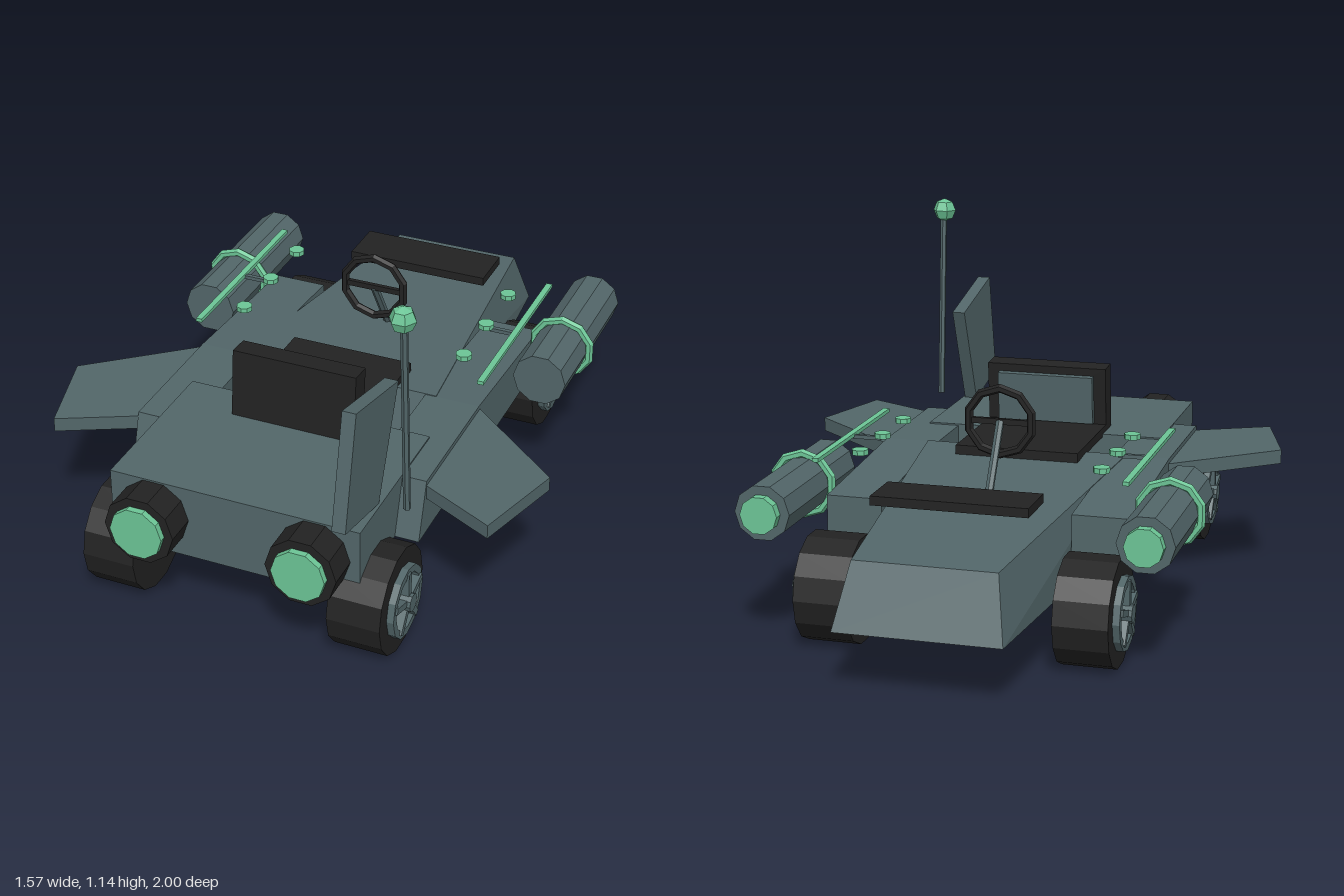
import * as THREE from 'three';
import { ConvexGeometry } from 'three/addons/geometries/ConvexGeometry.js';

const material = (name, color) => {
  const m = new THREE.MeshStandardMaterial({ color });
  m.name = name;
  return m;
};

export function createModel() {
  const slate = material('slate', 0x526669);
  const black = material('black', 0x222222);
  const green = material('mint green', 0x6cc596);
  const model = new THREE.Group();

  // Adds a faceted mesh
  function add(name, geometry, mat, x = 0, y = 0, z = 0, parent = model) {
    const g = geometry.index ? geometry.toNonIndexed() : geometry;
    g.computeVertexNormals();
    const mesh = new THREE.Mesh(g, mat);
    mesh.name = name;
    mesh.position.set(x, y, z);
    parent.add(mesh);
    return mesh;
  }
  const box = (w, h, d) => new THREE.BoxGeometry(w, h, d);
  const shapeOf = pts => new THREE.Shape(pts.map(p => new THREE.Vector2(...p)));
  const extrude = (shape, depth) =>
    new THREE.ExtrudeGeometry(shape, { depth, bevelEnabled: false, curveSegments: 6 });
  // Cylinder along z, flat facet on top
  const drum = (r, length, sides = 10) =>
    new THREE.CylinderGeometry(r, r, length, sides).rotateY(Math.PI / sides).rotateX(Math.PI / 2);
  // Profile of (z, y) points extruded between two x values
  const sideProfile = (pts, x0, x1) =>
    extrude(shapeOf(pts), x1 - x0).rotateY(-Math.PI / 2).translate(x1, 0, 0);
  // Rod between two points
  function rod(name, a, b, r, mat, sides = 6) {
    const from = new THREE.Vector3(...a), to = new THREE.Vector3(...b);
    const dir = to.clone().sub(from);
    const mesh = add(name, new THREE.CylinderGeometry(r, r, dir.length(), sides), mat);
    mesh.position.copy(from).add(to).multiplyScalar(0.5);
    mesh.quaternion.setFromUnitVectors(new THREE.Vector3(0, 1, 0), dir.normalize());
  }

  // Tapered long hull
  const hull = [];
  for (const s of [-1, 1]) {
    hull.push([0.25 * s, 0.19, -1], [0.215 * s, 0.38, -0.92], [0.345 * s, 0.19, 0.21], [0.33 * s, 0.452, 0.13]);
  }
  add('hull', new ConvexGeometry(hull.map(p => new THREE.Vector3(...p))), slate);

  // Lamp-end body with a narrower underside
  add('frontBody', box(0.79, 0.185, 0.53), slate, 0, 0.3625, 0.615);
  add('frontUnderside', box(0.62, 0.055, 0.53), slate, 0, 0.245, 0.615);

  for (const s of [-1, 1]) {
    // Side rail
    const rail = [[0.62, 0.27], [0.565, 0.45], [0.13, 0.45], [-0.43, 0.412], [-0.43, 0.27]];
    add('sideRail', sideProfile(rail, s > 0 ? 0.295 : -0.47, s > 0 ? 0.47 : -0.295), slate);

    // Swept wing
    const wing = [[0.4, 0.12], [0.47, 0.12], [0.785, 0.385], [0.7, 0.68], [0.46, 0.56], [0.4, 0.56]];
    add('wing', extrude(shapeOf(wing.map(([x, z]) => [x * s, z])), 0.045).rotateX(Math.PI / 2),
      slate, 0, 0.435, 0);

    // Round lamp
    add('lampHousing', drum(0.11, 0.1), black, 0.255 * s, 0.345, 0.93);
    add('lampLens', drum(0.083, 0.03), green, 0.255 * s, 0.345, 0.985);

    // Booster pod
    add('boosterPod', drum(0.086, 0.56), slate, 0.575 * s, 0.42, -0.41);
    add('boosterNozzle', drum(0.058, 0.04), green, 0.575 * s, 0.42, -0.7);
    add('boosterRing', new THREE.TorusGeometry(0.096, 0.014, 6, 10).rotateZ(Math.PI / 10),
      green, 0.575 * s, 0.42, -0.355);

    // Handrail with its knobs
    add('handrail', box(0.02, 0.012, 0.65), green, 0.475 * s, 0.541, -0.185);
    add('handrailBar', box(0.09, 0.012, 0.014), slate, 0.425 * s, 0.535, -0.185);
    for (const z of [-0.39, -0.185, 0.015]) {
      add('knob', new THREE.CylinderGeometry(0.026, 0.026, 0.016, 8), green, 0.375 * s, 0.545, z);
    }

    for (const z of [0.765, -0.55]) addWheel(s, z);
  }

  // Wheel with a five-spoke rim on its outer face
  function addWheel(side, z) {
    const wheel = new THREE.Group();
    wheel.name = 'wheel';
    wheel.position.set(0.393 * side, 0.166, z);
    wheel.rotation.y = side * Math.PI / 2;
    model.add(wheel);
    add('tyre', drum(0.166, 0.165, 14), black, 0, 0, 0, wheel);
    const ring = new THREE.Shape().absarc(0, 0, 0.113, 0, Math.PI * 2);
    ring.holes.push(new THREE.Path().absarc(0, 0, 0.09, 0, Math.PI * 2, true));
    add('rim', extrude(ring, 0.022), slate, 0, 0, 0.082, wheel);
    add('hub', drum(0.028, 0.04, 10), slate, 0, 0, 0.1, wheel);
    for (let i = 0; i < 5; i++) {
      const spoke = box(0.02, 0.09, 0.028).translate(0, 0.055, 0).rotateZ(i * Math.PI * 0.4);
      add('spoke', spoke, slate, 0, 0, 0.096, wheel);
    }
  }

  // Seat
  add('seatBase', box(0.4, 0.03, 0.4), black, 0, 0.46, 0.215);
  add('seatBack', sideProfile([[0.472, 0.45], [0.452, 0.67], [0.38, 0.665], [0.4, 0.45]], -0.2, 0.2), black);
  add('seatCushion', sideProfile([[0.395, 0.48], [0.38, 0.64], [0.358, 0.638], [0.373, 0.48]], -0.16, 0.16), slate);

  // Rear panel
  add('rearPanel', box(0.475, 0.028, 0.16), black, 0, 0.487, -0.615);

  // Steering
  add('steeringWheel', new THREE.TorusGeometry(0.104, 0.014, 6, 10).rotateZ(Math.PI / 10), black, 0, 0.61, -0.165);
  add('steeringBar', box(0.2, 0.018, 0.014), black, 0, 0.61, -0.165);
  rod('steeringColumn', [0, 0.61, -0.165], [0, 0.41, -0.29], 0.013, slate);

  // Upright fin
  add('fin', sideProfile([[0.965, 0.505], [0.89, 0.855], [0.585, 0.785], [0.725, 0.453]], 0.345, 0.387), slate);

  // Antenna
  rod('antennaPole', [0.475, 0.465, 0.73], [0.475, 1.1, 0.772], 0.011, slate);
  add('antennaTip', new THREE.SphereGeometry(0.04, 6, 4), green, 0.472, 1.107, 0.772);

  return model;
}
